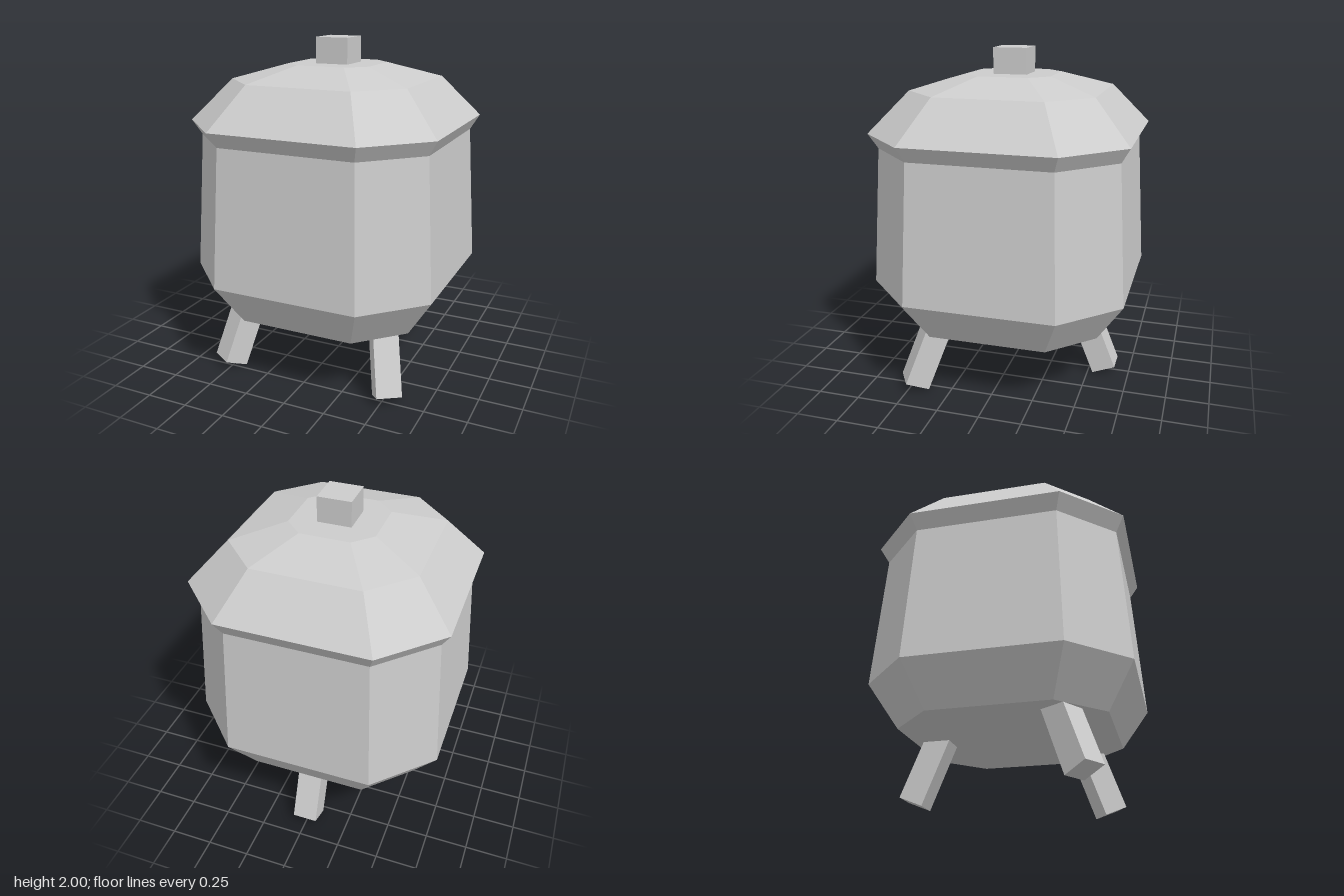
import * as THREE from 'three';

const grey = new THREE.MeshStandardMaterial({ color: 0xcccccc });
grey.name = 'plain grey';
grey.flatShading = true;

// Square with cut corners, half width 1, counter-clockwise from the front seen from above
const C = 0.58;
const RING = [[-C, 1], [C, 1], [1, C], [1, -C], [C, -1], [-C, -1], [-1, -C], [-1, C]];

// Eight-sided shell from [half width, height] pairs, bottom to top
function shell(name, profile) {
  const geo = new THREE.LatheGeometry(profile.map(([r, y]) => new THREE.Vector2(r, y)), 8);
  const pos = geo.attributes.position;
  const n = profile.length;
  for (let i = 0; i < pos.count; i++) {
    const [x, z] = RING[Math.floor(i / n) % 8];
    const [r, y] = profile[i % n];
    pos.setXYZ(i, x * r, y, z * r);
  }
  const flat = geo.toNonIndexed();
  flat.computeVertexNormals();
  const mesh = new THREE.Mesh(flat, grey);
  mesh.name = name;
  return mesh;
}

// Square leg splayed outwards; x, z is the middle of its foot
function leg(name, x, z, azimuth) {
  const length = 0.5;
  const geo = new THREE.BoxGeometry(0.147, length, 0.147).translate(0, length / 2, 0);
  const mesh = new THREE.Mesh(geo, grey);
  mesh.name = name;
  mesh.rotation.set(THREE.MathUtils.degToRad(-22), THREE.MathUtils.degToRad(azimuth), 0, 'YXZ');
  mesh.position.set(x, 0.031, z);
  return mesh;
}

export function createModel() {
  const model = new THREE.Group();
  model.name = 'lidded pot';

  // Pot with a closed floor
  model.add(shell('potBody', [[0, 0.38], [0.593, 0.38], [0.75, 0.627], [0.7, 1.44]]));

  // Faceted lid with an overhanging rim
  model.add(shell('lid', [[0.7, 1.44], [0.75, 1.527], [0.537, 1.765], [0.25, 1.85], [0, 1.85]]));

  // Lid handle
  const knob = new THREE.Mesh(new THREE.BoxGeometry(0.198, 0.15, 0.198), grey);
  knob.name = 'lidKnob';
  knob.position.y = 1.925;
  model.add(knob);

  // Three splayed legs
  model.add(leg('frontLeftLeg', 0.522, 0.478, 32));
  model.add(leg('frontRightLeg', -0.522, 0.478, -32));
  model.add(leg('backLeg', 0, -0.6, 180));

  return model;
}
